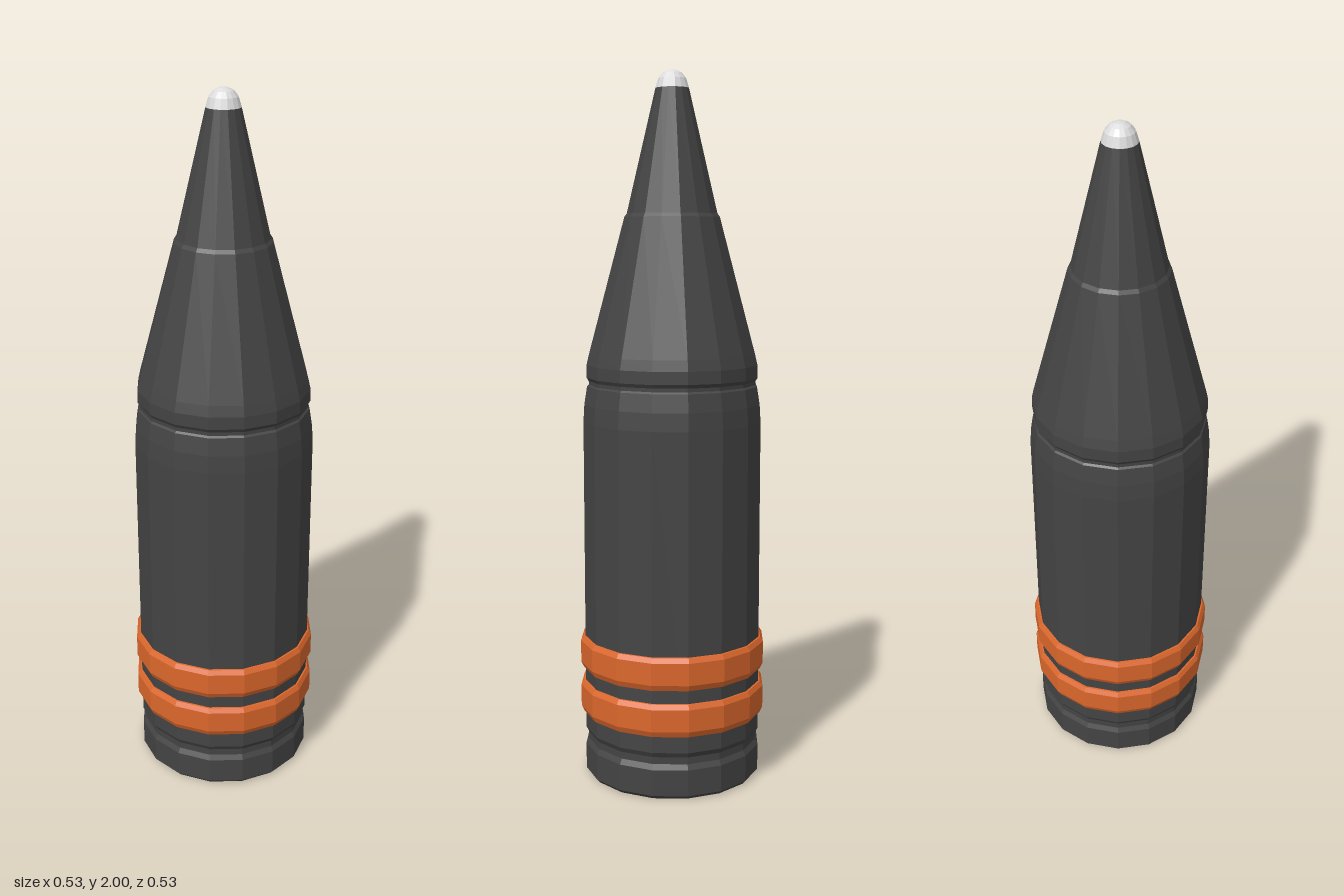
import * as THREE from 'three';

const SIDES = 16;

export function createModel() {
  const group = new THREE.Group();
  group.name = 'shell';

  const material = (name, color) => {
    const m = new THREE.MeshStandardMaterial({ color });
    m.name = name;
    m.flatShading = true;
    return m;
  };
  const steel = material('dark steel', 0x444444);
  const copper = material('copper orange', 0xdb672c);
  const silver = material('pale silver', 0xdcdcdc);

  // Turned part from [radius, height] pairs, bottom to top
  const turned = (name, mat, profile) => {
    const points = profile.map(([r, y]) => new THREE.Vector2(r, y));
    const mesh = new THREE.Mesh(new THREE.LatheGeometry(points, SIDES), mat);
    mesh.name = name;
    group.add(mesh);
  };

  // Cylindrical body with chamfered base and a groove near the bottom
  turned('body', steel, [
    [0, 0], [0.245, 0], [0.254, 0.01], [0.254, 0.085], [0.246, 0.1],
    [0.246, 0.12], [0.254, 0.135], [0.254, 1.03], [0.251, 1.08], [0.243, 1.13],
  ]);

  // Ogive with a shallow joint groove and a small step part way up
  turned('nose', steel, [
    [0.243, 1.13], [0.238, 1.135], [0.238, 1.145], [0.244, 1.155], [0.244, 1.19],
    [0.237, 1.22], [0.135, 1.6], [0.128, 1.61], [0.047, 1.95],
  ]);

  // Rounded tip
  turned('tip', silver, [
    [0.047, 1.95], [0.039, 1.976], [0.027, 1.991], [0.014, 1.998], [0, 2],
  ]);

  // Two driving bands
  [['lowerBand', 0.18], ['upperBand', 0.312]].forEach(([name, y]) => {
    turned(name, copper, [
      [0.25, y], [0.259, y + 0.003], [0.267, y + 0.02], [0.267, y + 0.083],
      [0.259, y + 0.096], [0.25, y + 0.097],
    ]);
  });

  return group;
}
